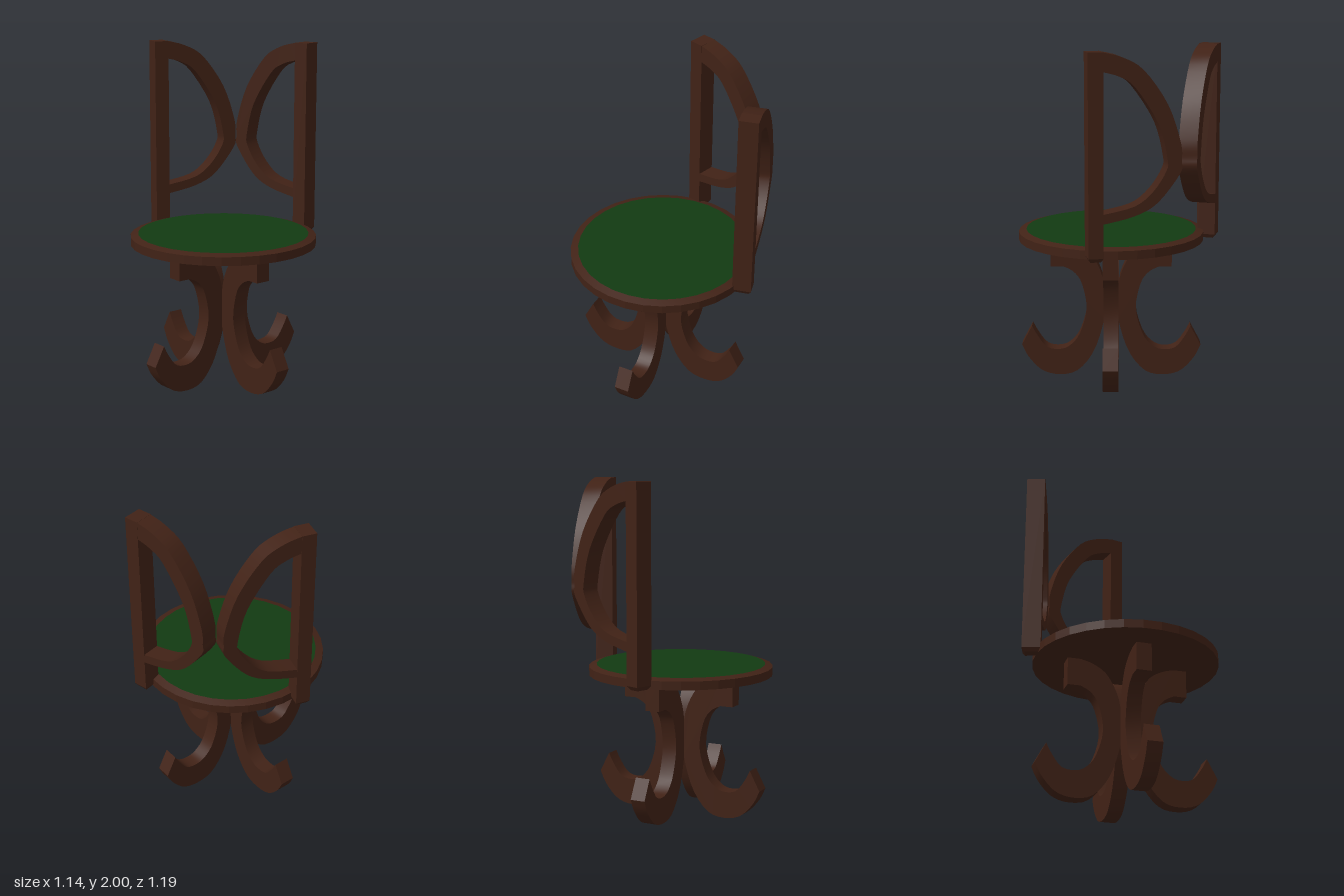
import * as THREE from 'three';
import { toCreasedNormals } from 'three/addons/utils/BufferGeometryUtils.js';

const wood = new THREE.MeshStandardMaterial({ color: 0x412216 });
const cushionGreen = new THREE.MeshStandardMaterial({ color: 0x123a12 });
const CX = -0.02, CZ = 0.04; // axis of seat and legs

function mesh(name, geometry, material = wood) {
  const m = new THREE.Mesh(geometry, material);
  m.name = name;
  return m;
}

// Smooth run of points through a few guide points
function smooth(points, n) {
  return new THREE.SplineCurve(points.map(([x, y]) => new THREE.Vector2(x, y))).getPoints(n);
}

// Plate of the given thickness, centred on z = 0
function plate(outline, thickness) {
  const g = new THREE.ExtrudeGeometry(new THREE.Shape(outline), { depth: thickness, bevelEnabled: false });
  g.translate(0, 0, -thickness / 2);
  return toCreasedNormals(g, 0.5);
}

// C-shaped leg: x runs outward from the seat axis
function legGeometry() {
  const outer = smooth([
    [0.285, 0.845], [0.203, 0.82], [0.122, 0.76], [0.056, 0.626], [0.035, 0.46], [0.046, 0.334],
    [0.105, 0.15], [0.203, 0.027], [0.315, 0], [0.42, 0.027], [0.5, 0.11], [0.54, 0.19],
  ], 36);
  const inner = smooth([
    [0.478, 0.307], [0.448, 0.25], [0.392, 0.177], [0.322, 0.16], [0.256, 0.18], [0.192, 0.255],
    [0.148, 0.414], [0.176, 0.573], [0.225, 0.645], [0.285, 0.677],
  ], 30);
  return plate([...outer, ...inner, new THREE.Vector2(0.362, 0.677), new THREE.Vector2(0.362, 0.845)], 0.09);
}

// Post with a tapered foot
function postGeometry() {
  const g = new THREE.BoxGeometry(0.085, 2, 0.11, 1, 2, 1);
  const p = g.attributes.position;
  for (let i = 0; i < p.count; i++) {
    const y = p.getY(i);
    if (y > 0.5) p.setY(i, 2);
    else if (y > -0.5) p.setY(i, 0.868);
    else p.setXYZ(i, p.getX(i) * 0.7, 0.845, p.getZ(i) * 0.7);
  }
  g.translate(0.0425, 0, 0);
  return toCreasedNormals(g, 0.3);
}

// Bow that springs from the post: x runs away from the post
function bowGeometry() {
  const outer = smooth([
    [0.08, 2], [0.19, 1.972], [0.31, 1.9], [0.445, 1.71], [0.518, 1.5], [0.524, 1.4],
    [0.516, 1.33], [0.39, 1.17], [0.26, 1.1], [0.08, 1.06],
  ], 36);
  const inner = smooth([
    [0.08, 1.115], [0.26, 1.155], [0.365, 1.235], [0.437, 1.345], [0.442, 1.42],
    [0.39, 1.61], [0.26, 1.81], [0.17, 1.87], [0.08, 1.895],
  ], 32);
  return plate([...outer, ...inner], 0.108);
}

export function createModel() {
  const model = new THREE.Group();
  model.name = 'chair';

  // Round seat with a sloping rim and a green top
  const seat = new THREE.Group();
  seat.name = 'seat';
  seat.position.set(CX, 0, CZ);
  seat.rotation.y = THREE.MathUtils.degToRad(3.5);
  const rim = [[0, 0.845], [0.55, 0.845], [0.55, 0.895], [0.505, 0.908]];
  const rimGeometry = new THREE.LatheGeometry(rim.map(([r, y]) => new THREE.Vector2(r, y)), 32);
  seat.add(mesh('seatRim', toCreasedNormals(rimGeometry, 0.1)));
  const top = new THREE.CircleGeometry(0.505, 32).rotateX(-Math.PI / 2).translate(0, 0.908, 0);
  seat.add(mesh('seatTop', top, cushionGreen));
  model.add(seat);

  // Four legs, turned slightly off the axes
  const leg = legGeometry();
  for (let i = 0; i < 4; i++) {
    const m = mesh('leg', leg);
    m.position.set(CX, 0, CZ);
    m.rotation.y = THREE.MathUtils.degToRad(-12.5 + 90 * i);
    model.add(m);
  }

  // Two back halves whose bows meet
  const post = postGeometry(), bow = bowGeometry();
  for (const [name, x, z, angle] of [['leftBack', 0.515, 0.29, 90], ['rightBack', 0.034, -0.552, -30]]) {
    const half = new THREE.Group();
    half.name = name;
    half.add(mesh('backPost', post), mesh('backBow', bow));
    half.position.set(x, 0, z);
    half.rotation.y = THREE.MathUtils.degToRad(angle);
    model.add(half);
  }
  return model;
}
